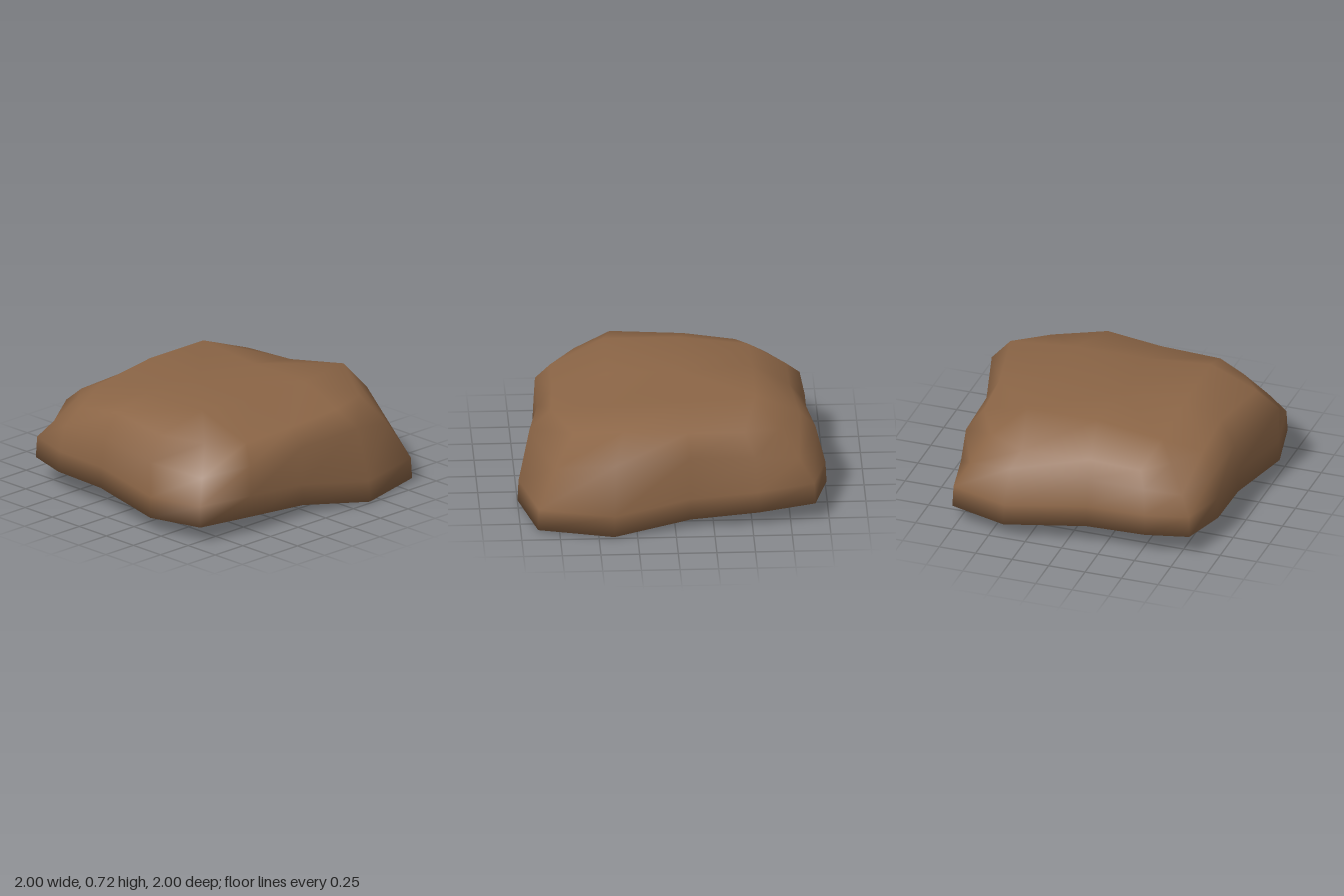
import * as THREE from 'three';
import { mergeVertices } from 'three/addons/utils/BufferGeometryUtils.js';

// Columns around the rock, four to a side, starting at the back right corner:
// x, z, low edge y, flank scale, flank y, shoulder scale, shoulder y
const COLUMNS = [
  [-0.91, -0.78, 0.12, 0.89, 0.40, 0.76, 0.57],
  [-0.54, -0.86, 0.10, 0.96, 0.47, 0.84, 0.61],
  [-0.10, -0.86, 0.06, 0.97, 0.48, 0.87, 0.62],
  [0.40, -1.00, 0.01, 0.97, 0.50, 0.82, 0.68],
  [0.89, -0.89, 0.02, 0.87, 0.40, 0.73, 0.59],
  [1.00, -0.40, 0.01, 0.92, 0.50, 0.78, 0.61],
  [0.86, 0.07, 0.07, 0.99, 0.46, 0.88, 0.58],
  [0.86, 0.54, 0.11, 0.98, 0.45, 0.87, 0.57],
  [0.78, 0.92, 0.11, 0.89, 0.40, 0.75, 0.58],
  [0.40, 1.00, 0.10, 1.00, 0.48, 0.86, 0.62],
  [-0.15, 0.91, 0.14, 0.97, 0.48, 0.86, 0.63],
  [-0.54, 0.91, 0.15, 0.96, 0.46, 0.86, 0.58],
  [-0.84, 0.82, 0.15, 0.90, 0.40, 0.77, 0.56],
  [-0.91, 0.54, 0.15, 0.955, 0.46, 0.86, 0.545],
  [-0.91, 0.14, 0.14, 0.95, 0.46, 0.86, 0.56],
  [-1.00, -0.40, 0.10, 0.93, 0.48, 0.83, 0.57],
];

// Rim of the flat middle, shared by the top and the underside: x, z, top y
const INNER = [
  [-0.54, -0.40, 0.72], [-0.08, -0.40, 0.68],
  [0.40, -0.40, 0.68], [0.40, 0.08, 0.68],
  [0.40, 0.53, 0.72], [-0.08, 0.53, 0.72],
  [-0.54, 0.53, 0.66], [-0.54, 0.08, 0.72],
];

// Each corner of the rim gathers three columns, each side midpoint one
function innerPoint(i) {
  const corner = Math.floor(((i + 1) % COLUMNS.length) / 4);
  return INNER[corner * 2 + (i % 4 === 2 ? 1 : 0)];
}

// Stacked cross-sections, from the underside to the top
const scaled = (c, s, y) => [c[0] * s, y, c[1] * s];
const RINGS = [
  (c, p) => [p[0], 0, p[1]],
  (c) => scaled(c, 1, c[2]),
  (c) => scaled(c, 0.993, c[2] + 0.14),
  (c) => scaled(c, c[3], c[4]),
  (c) => scaled(c, c[5], c[6]),
  (c, p) => [p[0], p[2], p[1]],
];

function rockGeometry() {
  const n = COLUMNS.length;
  const positions = RINGS.flatMap((ring) =>
    COLUMNS.flatMap((c, i) => ring(c, innerPoint(i))));
  const bottom = positions.length / 3;
  const top = bottom + 1;
  positions.push(-0.08, 0, 0.08, -0.08, 0.68, 0.08);

  const index = [];
  const last = (RINGS.length - 1) * n;
  for (let i = 0; i < n; i++) {
    const j = (i + 1) % n;
    for (let r = 0; r < last; r += n) {
      index.push(r + j, r + i, r + n + i, r + j, r + n + i, r + n + j);
    }
    index.push(bottom, i, j, top, last + j, last + i);
  }

  const geometry = new THREE.BufferGeometry();
  geometry.setAttribute('position', new THREE.Float32BufferAttribute(positions, 3));
  geometry.setIndex(index);
  // Weld the gathered corners so the shading stays smooth
  const welded = mergeVertices(geometry);
  welded.computeVertexNormals();
  return welded;
}

export function createModel() {
  const brown = new THREE.MeshStandardMaterial({ color: 0x8b6546 });
  brown.name = 'earth brown';

  const rock = new THREE.Mesh(rockGeometry(), brown);
  rock.name = 'rock';

  const group = new THREE.Group();
  group.name = 'flatRock';
  group.add(rock);
  return group;
}
